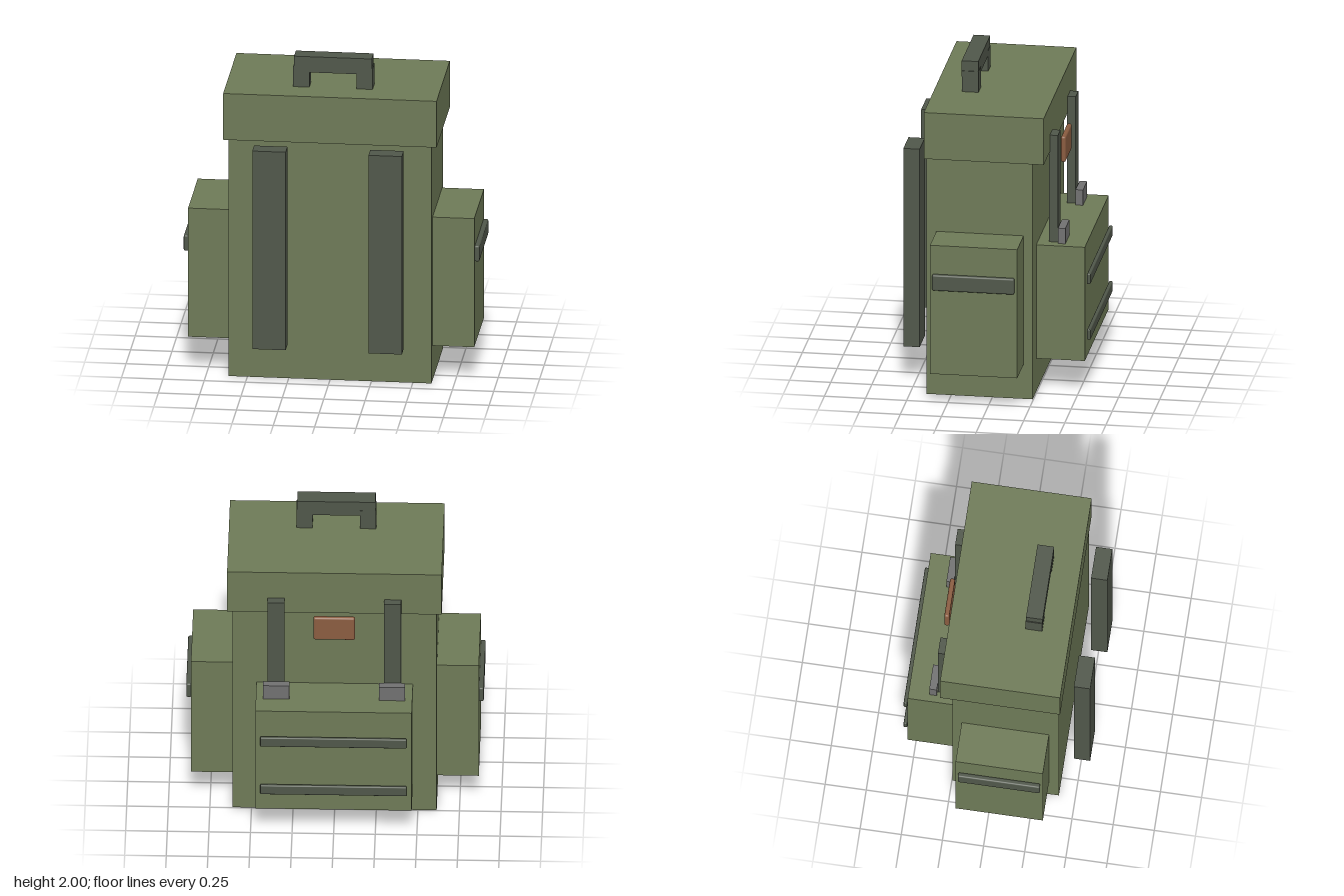
import * as THREE from 'three';
import { RoundedBoxGeometry } from 'three/addons/geometries/RoundedBoxGeometry.js';

const material = (name, color) => {
  const m = new THREE.MeshStandardMaterial({ color });
  m.name = name;
  return m;
};

export function createModel() {
  const canvas = material('olive canvas', 0x6e7a57);
  const webbing = material('dark webbing', 0x50574a);
  const metal = material('grey buckle', 0x717171);
  const leather = material('brown leather', 0x8a5c40);

  const model = new THREE.Group();
  model.name = 'backpack';

  // Box spanning the given ranges; a radius rounds its edges
  const block = (name, mat, [x0, x1], [y0, y1], [z0, z1], radius = 0) => {
    const size = [x1 - x0, y1 - y0, z1 - z0];
    const geometry = radius
      ? new RoundedBoxGeometry(...size, 3, radius)
      : new THREE.BoxGeometry(...size);
    const mesh = new THREE.Mesh(geometry, mat);
    mesh.name = name;
    mesh.position.set((x0 + x1) / 2, (y0 + y1) / 2, (z0 + z1) / 2);
    model.add(mesh);
  };

  // Mirrored pair of blocks, given for the left (+x) side
  const pair = (name, mat, [x0, x1], y, z, radius) => {
    block(name + 'Left', mat, [x0, x1], y, z, radius);
    block(name + 'Right', mat, [-x1, -x0], y, z, radius);
  };

  // Main bag and overhanging lid
  block('body', canvas, [-0.613, 0.613], [0, 1.52], [-0.245, 0.4]);
  block('lid', canvas, [-0.645, 0.645], [1.51, 1.805], [-0.317, 0.412]);

  // Carry handle
  pair('handleLeg', webbing, [0.143, 0.24], [1.8, 1.937], [0.142, 0.243]);
  block('handleGrip', webbing, [-0.235, 0.235], [1.9, 2], [0.144, 0.245]);

  // Shoulder straps
  pair('shoulderStrap', webbing, [0.25, 0.452], [0.237, 1.5], [0.467, 0.566]);

  // Side pockets with their straps
  pair('sidePocket', canvas, [0.6, 0.865], [0.22, 1.04], [-0.19, 0.34]);
  pair('sidePocketStrap', webbing, [0.863, 0.894], [0.76, 0.86], [-0.174, 0.325], 0.01);

  // Rear pocket with two horizontal bands
  block('rearPocket', canvas, [-0.47, 0.47], [0.21, 0.935], [-0.54, -0.24]);
  for (const y of [0.335, 0.69]) {
    block('rearPocketBand', webbing, [-0.44, 0.44], [y, y + 0.066], [-0.57, -0.548], 0.007);
  }

  // Closing straps, buckles and leather patch below the lid
  pair('closingStrap', webbing, [0.3, 0.402], [0.9, 1.615], [-0.366, -0.312]);
  pair('buckle', metal, [0.269, 0.427], [0.92, 1.033], [-0.415, -0.37]);
  block('leatherPatch', leather, [-0.125, 0.125], [1.345, 1.508], [-0.37, -0.34], 0.012);

  return model;
}
